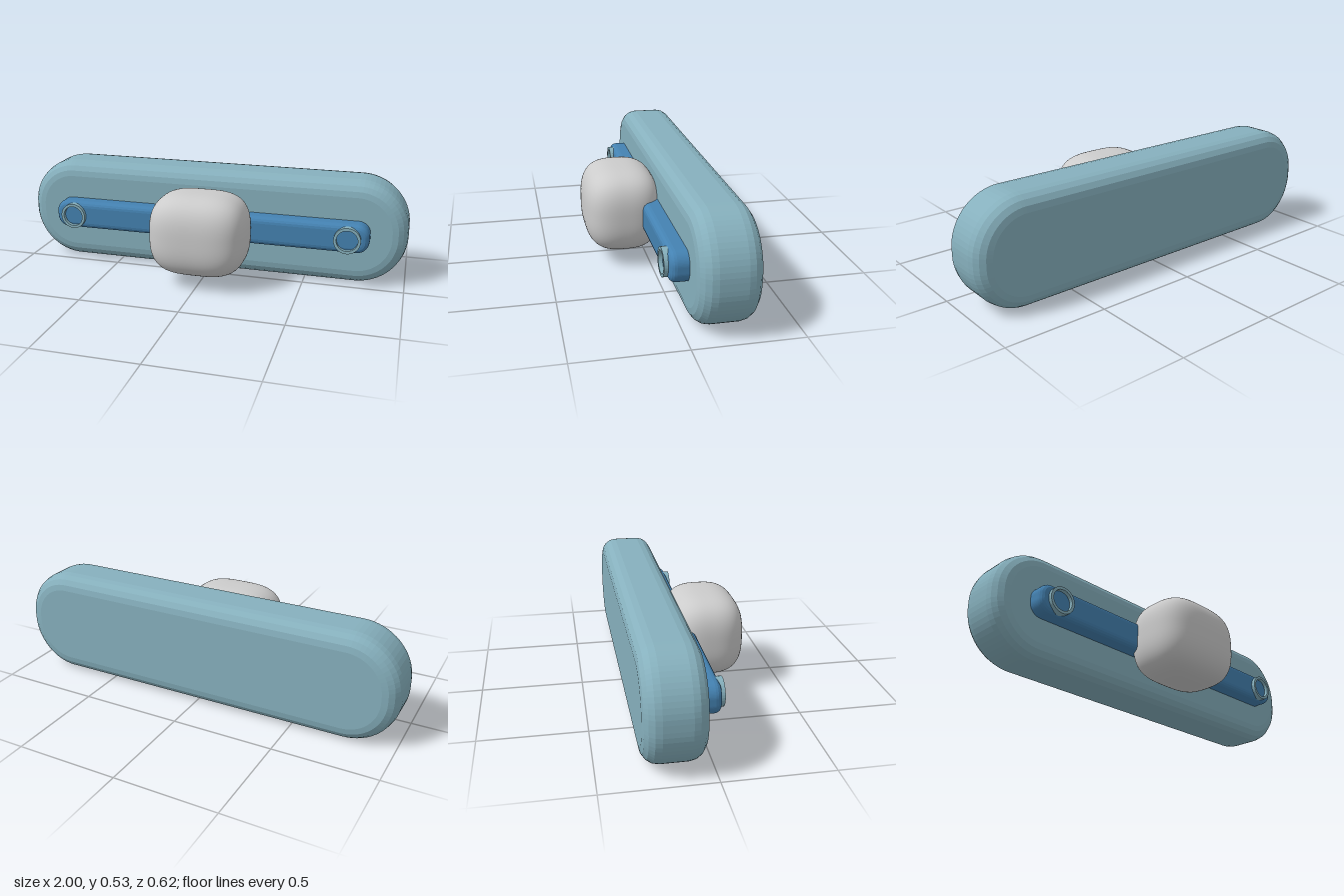
import * as THREE from 'three';
import { mergeVertices } from 'three/addons/utils/BufferGeometryUtils.js';

const CENTER_Y = 0.266;
const paleBlue = new THREE.MeshStandardMaterial({ color: 0x86b0bd });
const deepBlue = new THREE.MeshStandardMaterial({ color: 0x4482b2 });
const grey = new THREE.MeshStandardMaterial({ color: 0xcccccc });

function add(group, name, geometry, material, x, y, z) {
  const mesh = new THREE.Mesh(geometry, material);
  mesh.name = name;
  mesh.position.set(x, y, z);
  group.add(mesh);
}

// Bar with rounded ends and bevelled rims, centred on the origin
function roundedBar(width, height, depth, radius, bevel) {
  const w = width / 2 - bevel, h = height / 2 - bevel, r = radius - bevel;
  const shape = new THREE.Shape();
  shape.moveTo(-w + r, -h);
  shape.absarc(w - r, -h + r, r, -Math.PI / 2, 0);
  shape.absarc(w - r, h - r, r, 0, Math.PI / 2);
  shape.absarc(-w + r, h - r, r, Math.PI / 2, Math.PI);
  shape.absarc(-w + r, -h + r, r, Math.PI, Math.PI * 1.5);
  const geometry = new THREE.ExtrudeGeometry(shape, {
    depth: depth - 2 * bevel, bevelThickness: bevel, bevelSize: bevel,
    bevelSegments: 4, curveSegments: 8,
  });
  geometry.translate(0, 0, bevel - depth / 2);
  return geometry;
}

// Softly swollen cube: each box vertex is pushed onto a superellipsoid
function softCube(hx, hy, hz) {
  let geometry = new THREE.BoxGeometry(2, 2, 2, 20, 20, 20);
  geometry.deleteAttribute('uv');
  geometry.deleteAttribute('normal');
  geometry = mergeVertices(geometry);
  const pos = geometry.attributes.position;
  const v = new THREE.Vector3();
  for (let i = 0; i < pos.count; i++) {
    v.fromBufferAttribute(pos, i);
    let lo = 0, hi = 1;
    for (let k = 0; k < 24; k++) {
      const t = (lo + hi) / 2;
      const f = Math.abs(v.x * t) ** 3.4 + Math.abs(v.y * t) ** 2.9 + Math.abs(v.z * t) ** 2.9;
      if (f > 1) hi = t; else lo = t;
    }
    pos.setXYZ(i, v.x * lo * hx, v.y * lo * hy, v.z * lo * hz);
  }
  geometry.computeVertexNormals();
  return geometry;
}

// Short open ring facing +z
function ring(outer, inner, depth) {
  const shape = new THREE.Shape().absarc(0, 0, outer, 0, Math.PI * 2);
  shape.holes.push(new THREE.Path().absarc(0, 0, inner, 0, Math.PI * 2, true));
  return new THREE.ExtrudeGeometry(shape, { depth, bevelEnabled: false, curveSegments: 16 });
}

export function createModel() {
  const group = new THREE.Group();
  group.name = 'sliderHandle';

  // Thick rounded backing plate
  add(group, 'backPlate', roundedBar(2, 0.53, 0.275, 0.25, 0.075), paleBlue, 0, CENTER_Y, -0.1725);

  // Slim rail on the front, sunk slightly into the plate
  add(group, 'rail', roundedBar(1.64, 0.145, 0.12, 0.06, 0.03), deepBlue, 0, CENTER_Y + 0.001, -0.013);

  // Ring at each end of the rail
  for (const side of [-1, 1]) {
    add(group, side > 0 ? 'leftRing' : 'rightRing', ring(0.066, 0.052, 0.036), paleBlue,
      side * 0.716, CENTER_Y, 0.03);
  }

  // Central soft knob
  add(group, 'knob', softCube(0.245, 0.207, 0.188), grey, 0, CENTER_Y, 0.124);

  return group;
}
